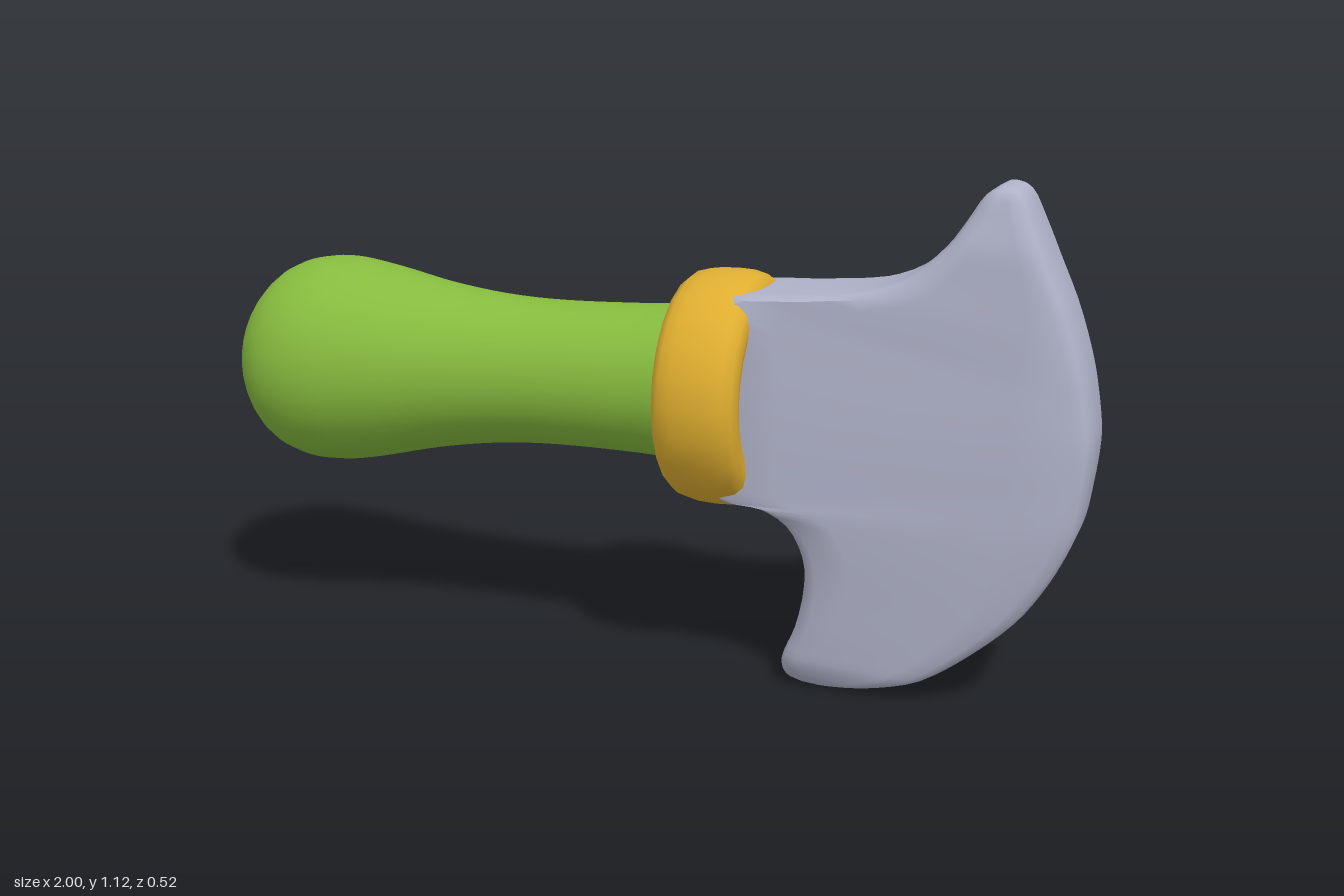
import * as THREE from 'three';
import { toCreasedNormals } from 'three/addons/utils/BufferGeometryUtils.js';

const material = (name, color) => new THREE.MeshStandardMaterial({ name, color });

// Turned part lying along the x axis; profile points are [x, radius]
function turned(name, points, mat, segments) {
  const geo = new THREE.LatheGeometry(points.map(([x, r]) => new THREE.Vector2(r, x)), segments);
  geo.rotateZ(-Math.PI / 2);
  const mesh = new THREE.Mesh(geo, mat);
  mesh.name = name;
  return mesh;
}

// Smooth a profile through a few points
function smooth(points, n) {
  const curve = new THREE.SplineCurve(points.map(([x, r]) => new THREE.Vector2(x, r)));
  return curve.getPoints(n).map((p) => [p.x, Math.max(0, p.y)]);
}

// Matching points from the upper to the lower tip: back outline x, y, cutting edge x, y
const BLADE = [
  [0.785, 1.125, 0.805, 1.125], [0.755, 1.105, 0.83, 1.11], [0.72, 1.05, 0.86, 1.05],
  [0.685, 1.0, 0.89, 0.98], [0.61, 0.935, 0.93, 0.89], [0.52, 0.9, 0.955, 0.82],
  [0.36, 0.882, 0.975, 0.75], [0.2, 0.86, 0.985, 0.7], [0.2, 0.75, 0.993, 0.65],
  [0.2, 0.64, 0.997, 0.61], [0.2, 0.53, 0.995, 0.56], [0.2, 0.435, 0.988, 0.5],
  [0.3, 0.42, 0.975, 0.42], [0.365, 0.385, 0.95, 0.355], [0.4, 0.32, 0.91, 0.28],
  [0.405, 0.24, 0.86, 0.21], [0.385, 0.14, 0.77, 0.125], [0.36, 0.08, 0.68, 0.06],
  [0.352, 0.045, 0.58, 0.025], [0.365, 0.02, 0.49, 0.008], [0.4, 0.006, 0.43, 0.005],
];

// Blade lofted from rounded cross-sections running from its back to its cutting edge
function bladeGeometry() {
  const back = new THREE.CatmullRomCurve3(BLADE.map(([x, y]) => new THREE.Vector3(x, y, 0)));
  const edge = new THREE.CatmullRomCurve3(BLADE.map(([, , x, y]) => new THREE.Vector3(x, y, 0)));
  const rows = 60;
  const pos = [];
  const index = [];
  let count = 0;

  for (let i = 0; i <= rows; i++) {
    const u = i / rows;
    const a = back.getPoint(u);
    const b = edge.getPoint(u);
    const length = a.distanceTo(b);
    const round = Math.min(0.035, length * 0.3) / length;
    const bulge = 0.05 * Math.sin(Math.PI * u) ** 2;
    const tip = Math.min(1, 0.45 + 0.55 * Math.sqrt(Math.min(u, 1 - u) / 0.14));

    // Half section: [position from back to edge, share of the thickness]
    const half = [[0, 0.65], [round * 0.28, 0.9]];
    for (let k = 0; k <= 6; k++) half.push([round + (1 - 2 * round) * k / 6, 1]);
    half.push([1 - round * 0.28, 0.9], [1, 0.65]);

    const section = half.map(([v, s]) => {
      const z = (0.1 + bulge * (1 - v ** 1.3)) * tip * s;
      return [a.x + (b.x - a.x) * v, a.y + (b.y - a.y) * v, z];
    });
    const loop = [...section, ...section.slice().reverse().map(([x, y, z]) => [x, y, -z])];
    count = loop.length;
    pos.push(...loop.flat());
  }

  for (let i = 0; i < rows; i++) {
    for (let j = 0; j < count; j++) {
      const p = i * count + j;
      const q = i * count + (j + 1) % count;
      index.push(p, p + count, q + count, p, q + count, q);
    }
  }
  // Close both tips
  const last = rows * count;
  for (let j = 1; j < count - 1; j++) {
    index.push(0, j, j + 1, last, last + j + 1, last + j);
  }

  const geo = new THREE.BufferGeometry();
  geo.setAttribute('position', new THREE.Float32BufferAttribute(pos, 3));
  geo.setIndex(index);
  return toCreasedNormals(geo, 1.0);
}

export function createModel() {
  const group = new THREE.Group();
  group.name = 'handAxe';
  const green = material('green grip', 0x86bb3e);
  const gold = material('gold collar', 0xdfae30);
  const steel = material('grey blade', 0xb0b3c9);

  // Handle with a bulbous end, leaning slightly down towards the back
  const handle = turned('handle', smooth([
    [-1, 0], [-0.99, 0.08], [-0.96, 0.15], [-0.9, 0.21], [-0.83, 0.238], [-0.75, 0.243],
    [-0.65, 0.228], [-0.5, 0.195], [-0.35, 0.173], [-0.2, 0.165], [0, 0.168], [0.1, 0.174], [0.2, 0.174],
  ], 48), green, 32);
  handle.position.y = 0.65;
  const p = handle.geometry.attributes.position;
  for (let i = 0; i < p.count; i++) p.setY(i, p.getY(i) + 0.02 * p.getX(i));
  group.add(handle);

  // Rounded collar between handle and blade
  const collar = turned('collar', [
    [0.125, 0], [0.12, 0.16], [0.104, 0.19], [0.1, 0.215], [0.107, 0.237], [0.125, 0.251],
    [0.155, 0.259], [0.195, 0.261], [0.235, 0.259], [0.265, 0.251], [0.283, 0.237],
    [0.29, 0.215], [0.286, 0.19], [0.272, 0.16], [0.268, 0],
  ], gold, 24);
  collar.position.y = 0.65;
  group.add(collar);

  const blade = new THREE.Mesh(bladeGeometry(), steel);
  blade.name = 'blade';
  group.add(blade);

  return group;
}
